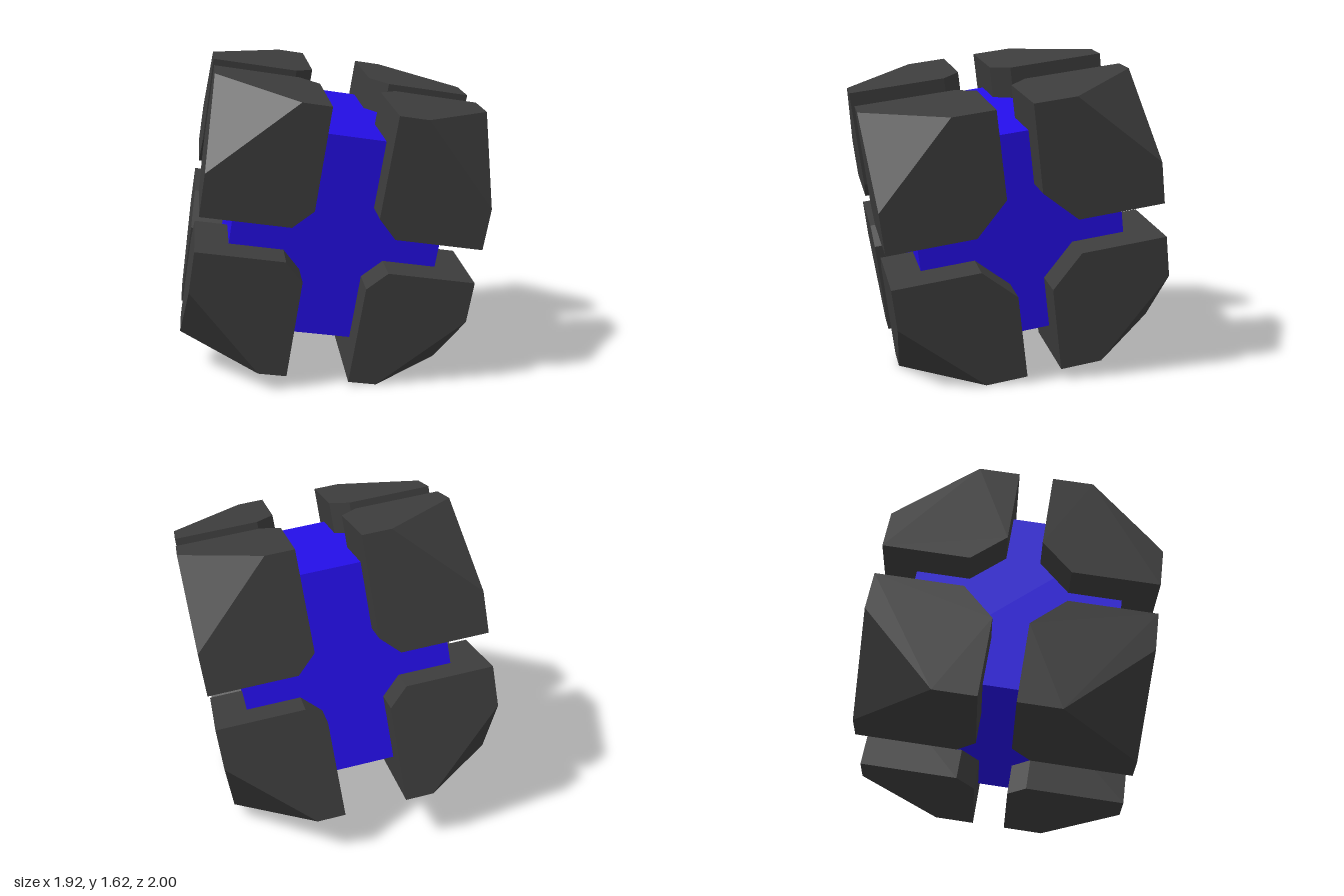
import * as THREE from 'three';
import { ConvexGeometry } from 'three/addons/geometries/ConvexGeometry.js';

const HALF = 0.68;        // half side of the outer cube
const CUT = 0.385;        // leg of the cut outer corner
const CORE = 0.515;       // half side of the inner cube
const BEVEL = 0.335;      // bevel of the inner edges
const GAP = [0.155, 0.087, 0.087]; // half gap along x, y, z

// Planes n.p <= d bounding the block in the positive octant
function blockPlanes() {
  const list = [
    [1, 1, 1, 3 * HALF - CUT],
    [-1, -1, 0, -BEVEL], [0, -1, -1, -BEVEL], [-1, 0, -1, -BEVEL],
  ];
  for (let i = 0; i < 3; i++) {
    const n = [0, 0, 0];
    n[i] = 1;
    list.push([...n, HALF]);
    n[i] = -1;
    list.push([...n, -GAP[i]]);
  }
  return list.map(([x, y, z, d]) => ({ n: new THREE.Vector3(x, y, z), d }));
}

// Corners of the convex solid enclosed by the planes
function solidCorners(planes) {
  const points = [];
  for (let i = 0; i < planes.length; i++)
    for (let j = i + 1; j < planes.length; j++)
      for (let k = j + 1; k < planes.length; k++) {
        const [A, B, C] = [planes[i], planes[j], planes[k]];
        const bc = B.n.clone().cross(C.n);
        const det = A.n.dot(bc);
        if (Math.abs(det) < 1e-6) continue;
        const p = bc.multiplyScalar(A.d)
          .addScaledVector(C.n.clone().cross(A.n), B.d)
          .addScaledVector(A.n.clone().cross(B.n), C.d)
          .divideScalar(det);
        const inside = planes.every((q) => q.n.dot(p) <= q.d + 1e-6);
        if (inside && !points.some((o) => o.distanceTo(p) < 1e-4)) points.push(p);
      }
  return points;
}

export function createModel() {
  const model = new THREE.Group();
  model.name = 'armouredCube';
  const charcoal = new THREE.MeshStandardMaterial({ name: 'charcoal', color: 0x3c3c3c });
  const blue = new THREE.MeshStandardMaterial({ name: 'blue', color: 0x240ee6 });

  // Whole cube turned on edge and leaning forward
  const cube = new THREE.Group();
  cube.name = 'tiltedCube';
  cube.rotation.set(THREE.MathUtils.degToRad(12), -Math.PI / 4, 0);
  cube.position.y = 0.809;
  model.add(cube);

  // Glowing core
  const core = new THREE.Mesh(new THREE.BoxGeometry(2 * CORE, 2 * CORE, 2 * CORE), blue);
  core.name = 'core';
  cube.add(core);

  // Eight mirrored corner blocks
  const corners = solidCorners(blockPlanes());
  for (const sx of [-1, 1])
    for (const sy of [-1, 1])
      for (const sz of [-1, 1]) {
        const side = new THREE.Vector3(sx, sy, sz);
        const points = corners.map((p) => p.clone().multiply(side));
        const block = new THREE.Mesh(new ConvexGeometry(points), charcoal);
        block.name = 'cornerBlock';
        cube.add(block);
      }
  return model;
}
